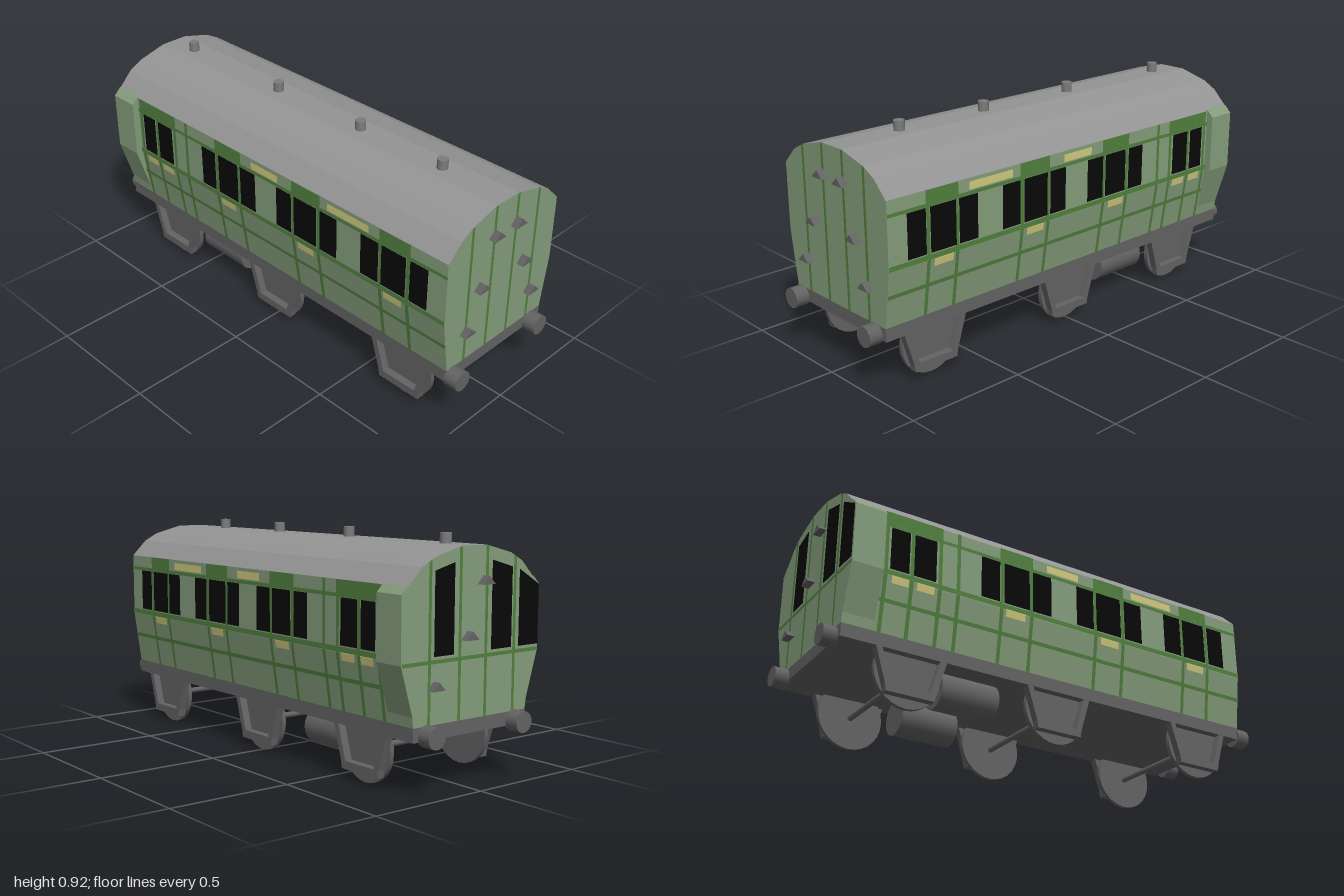
import * as THREE from 'three';

const paint = (name, color, side = THREE.FrontSide) => {
  const m = new THREE.MeshStandardMaterial({ color, side });
  m.name = name;
  return m;
};

export function createModel() {
  const green = paint('pale green', 0x859d7c);
  const darkGreen = paint('dark green', 0x52803f);
  const roofGrey = paint('roof grey', 0x949494);
  const ironGrey = paint('iron grey', 0x636363);
  const ventGrey = paint('vent grey', 0x7c7c7c);
  const black = paint('window black', 0x080808);
  const cream = paint('cream yellow', 0xd2ca7e);

  const root = new THREE.Group();
  root.name = 'railwayCarriage';
  const END = 0.945, KNEE = 0.485, SILL = 0.26, EAVE = 0.755;

  const add = (name, geo, mat, x = 0, y = 0, z = 0, parent = root) => {
    const m = new THREE.Mesh(geo, mat);
    m.name = name;
    m.position.set(x, y, z);
    parent.add(m);
    return m;
  };
  const group = (name) => {
    const g = new THREE.Group();
    g.name = name;
    root.add(g);
    return g;
  };
  const shapeOf = (pts) => new THREE.Shape(pts.map(([x, y]) => new THREE.Vector2(x, y)));
  const extrude = (shape, depth) => new THREE.ExtrudeGeometry(shape, { depth, bevelEnabled: false });
  const mirrored = (half) => [...half, ...half.map(([x, y]) => [-x, y]).reverse()];

  // Body walls and faceted roof
  const roofHalf = [[0.315, EAVE], [0.25, 0.82], [0.19, 0.852], [0.063, 0.885]];
  add('bodyWalls', extrude(shapeOf(mirrored([[0.283, SILL], [0.315, KNEE], [0.315, EAVE]])), END * 2),
    green, 0, 0, -END);
  add('roof', extrude(shapeOf(mirrored(roofHalf)), END * 2), [green, roofGrey], 0, 0, -END);
  for (const z of [0.64, 0.22, -0.25, -0.8]) {
    add('roofVent', new THREE.CylinderGeometry(0.022, 0.022, 0.05, 16), ventGrey, 0, 0.9, z);
  }

  // Guard's lookouts bulging out at the back
  for (const s of [1, -1]) {
    const pts = [[0.27, SILL], [0.284, SILL], [0.289, 0.3], [0.345, KNEE], [0.345, 0.73], [0.315, 0.76], [0.27, 0.76]];
    add('lookout', extrude(shapeOf(pts.map(([x, y]) => [x * s, y])), 0.128), green, 0, 0, -END);
  }

  // Side decoration: flat faces that follow the bend of the wall
  const wallX = (y) => (y >= KNEE ? 0.315 : 0.283 + (0.032 * (y - SILL)) / (KNEE - SILL));
  const sidePanel = (parent, name, s, z0, z1, y0, y1, mat, off) => {
    if (y0 < KNEE && y1 > KNEE) {
      sidePanel(parent, name, s, z0, z1, y0, KNEE, mat, off);
      sidePanel(parent, name, s, z0, z1, KNEE, y1, mat, off);
      return;
    }
    const g = new THREE.PlaneGeometry(Math.abs(z1 - z0), y1 - y0);
    g.rotateY((s * Math.PI) / 2).translate(0, (y0 + y1) / 2, (z0 + z1) / 2);
    const p = g.attributes.position;
    for (let i = 0; i < p.count; i++) p.setX(i, s * (wallX(p.getY(i)) + off));
    g.computeVertexNormals();
    add(name, g, mat, 0, 0, 0, parent);
  };
  const windows = [[0.86, 0.775], [0.755, 0.635], [0.62, 0.53], [0.405, 0.315], [0.295, 0.17], [0.155, 0.07],
    [-0.055, -0.145], [-0.16, -0.28], [-0.3, -0.385], [-0.585, -0.68], [-0.7, -0.78]];
  const doorPanels = [[0.765, 0.63], [0.315, 0.16], [-0.15, -0.3], [-0.567, -0.79]];
  const nameBoards = [[0.57, 0.355], [0.08, -0.075]];
  const doorLabels = [[0.74, 0.65], [0.28, 0.19], [-0.18, -0.27], [-0.59, -0.665], [-0.7, -0.77]];
  const uprights = [0.765, 0.63, 0.305, 0.165, -0.15, -0.29, -0.487, -0.567, -0.687, -0.797];
  for (const s of [1, -1]) {
    const side = group(s > 0 ? 'leftSideDetails' : 'rightSideDetails');
    for (const [a, b] of windows) sidePanel(side, 'sideWindow', s, a, b, 0.513, 0.69, black, 0.003);
    for (const [a, b] of doorPanels) sidePanel(side, 'doorTopPanel', s, a, b, 0.705, EAVE, darkGreen, 0.003);
    for (const [a, b] of nameBoards) sidePanel(side, 'topBoard', s, a, b, 0.711, 0.742, cream, 0.004);
    for (const [a, b] of doorLabels) sidePanel(side, 'doorLabel', s, a, b, 0.457, 0.488, cream, 0.004);
    for (const z of uprights) sidePanel(side, 'uprightBeading', s, z + 0.008, z - 0.008, SILL, EAVE, darkGreen, 0.002);
    for (const [y, h] of [[0.698, 0.007], [0.498, 0.01], [0.385, 0.008]]) {
      sidePanel(side, 'longBeading', s, END, -0.817, y - h, y + h, darkGreen, 0.0025);
    }
  }

  // End beading, front and back
  const roofY = (x) => {
    const ax = Math.abs(x);
    if (ax <= 0.063) return 0.885;
    const i = roofHalf.findIndex(([rx]) => rx <= ax);
    const [x0, y0] = roofHalf[i - 1], [x1, y1] = roofHalf[i];
    return y0 + ((y1 - y0) * (ax - x0)) / (x1 - x0);
  };
  const endPanel = (name, pts, mat, s, off) => {
    const g = new THREE.ShapeGeometry(shapeOf(pts.map(([x, y]) => [x * s, y])));
    if (s < 0) g.rotateY(Math.PI);
    add(name, g, mat, 0, 0, s * (END + off));
  };
  for (const [s, xs] of [[1, [0.063, 0.19]], [-1, [0.066, 0.213]]]) {
    for (const x of xs.flatMap((v) => [v, -v])) {
      const a = x - 0.007, b = x + 0.007;
      endPanel('endBeading', [[a, SILL], [b, SILL], [b, roofY(b)], [a, roofY(a)]], darkGreen, s, 0.002);
    }
  }
  endPanel('backWaistBeading', [[-0.343, 0.478], [0.343, 0.478], [0.343, 0.492], [-0.343, 0.492]], darkGreen, -1, 0.0025);

  // Back windows with tops sloped to the roof
  for (const [x0, x1, y0, y1] of [[0.096, 0.192, 0.83, 0.805], [-0.092, -0.198, 0.83, 0.8], [-0.236, -0.342, 0.79, 0.728]]) {
    endPanel('backWindow', [[x0, 0.503], [x1, 0.503], [x1, y1], [x0, y0]], black, -1, 0.003);
  }

  // Triangular steps on both ends
  const step = extrude(shapeOf([[-0.031, 0], [0.031, 0], [0, 0.031]]), 0.03);
  for (const [x, y] of [[0.063, 0.755], [0.126, 0.557], [0.19, 0.39]]) {
    add('frontStep', step, ironGrey, x, y, END);
    add('frontStep', step, ironGrey, -x, y, END);
  }
  for (const [x, y] of [[-0.05, 0.745], [0.027, 0.55], [0.19, 0.385]]) {
    add('backStep', step, ironGrey, x, y, -END - 0.03);
  }

  // Underframe and buffers
  add('underframe', new THREE.BoxGeometry(0.568, 0.053, END * 2), ironGrey, 0, 0.2335, 0);
  const buffer = new THREE.CylinderGeometry(0.041, 0.041, 0.06, 24).rotateX(Math.PI / 2);
  for (const [x, z] of [[-0.253, 1], [0.221, 1], [-0.221, -1], [0.221, -1]]) {
    add('buffer', buffer, ironGrey, x, 0.225, z * 0.97);
  }

  // Wheels, axles and open axle guards
  const wheel = new THREE.CylinderGeometry(0.137, 0.137, 0.018, 28).rotateZ(Math.PI / 2);
  const axle = new THREE.CylinderGeometry(0.012, 0.012, 0.47, 10).rotateZ(Math.PI / 2);
  const guardShape = shapeOf([[-0.148, 0.21], [-0.105, 0.07], [-0.1, 0.04], [0.1, 0.04], [0.105, 0.07], [0.148, 0.21]]);
  guardShape.holes.push(shapeOf([[-0.122, 0.208], [0.122, 0.208], [0.08, 0.072], [-0.08, 0.072]]));
  const guard = extrude(guardShape, 0.033).translate(0, 0, -0.0165).rotateY(Math.PI / 2);
  for (const z of [0.715, 0, -0.655]) {
    add('axle', axle, ironGrey, 0, 0.13, z);
    for (const s of [1, -1]) {
      add('wheel', wheel, ironGrey, s * 0.243, 0.138, z);
      add('axleGuard', guard, ironGrey, s * 0.267, 0, z);
    }
  }

  // Gas tanks slung under the floor
  const tank = new THREE.CylinderGeometry(0.073, 0.073, 0.25, 24).rotateX(Math.PI / 2);
  for (const x of [-0.167, 0.153]) add('gasTank', tank, ironGrey, x, 0.139, -0.375);

  return root;
}
